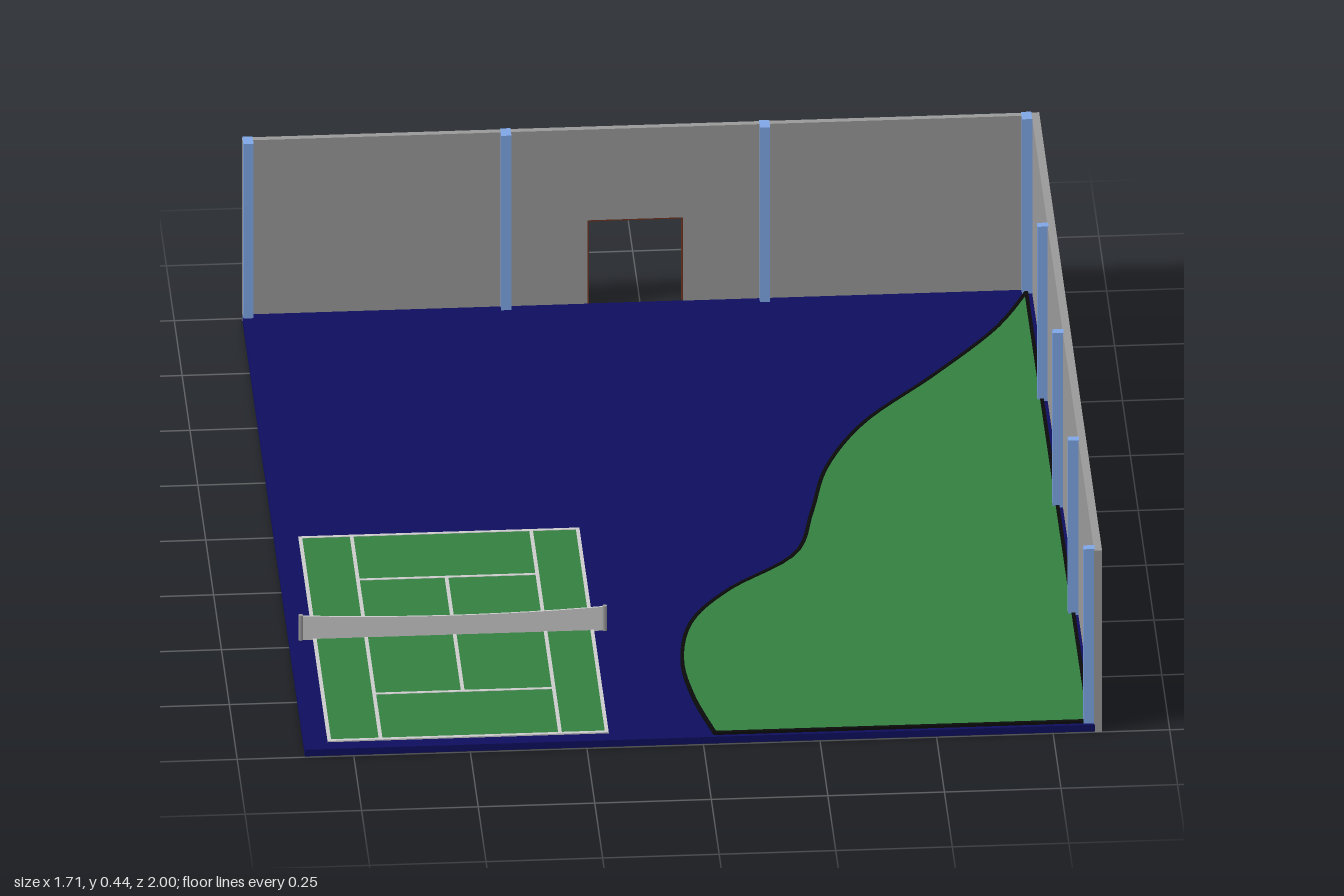
import * as THREE from 'three';

const mat = (color) => new THREE.MeshStandardMaterial({ color, side: THREE.DoubleSide });

export function createModel() {
  const group = new THREE.Group();
  const navy = mat(0x0e0e60), green = mat(0x338040), white = mat(0xcccccc);
  const wallGrey = mat(0x999999), blue = mat(0x7fa6e6), black = mat(0x0a0a0a), brown = mat(0x6b3320);

  const add = (name, geometry, material) => {
    const mesh = new THREE.Mesh(geometry, material);
    mesh.name = name;
    group.add(mesh);
    return mesh;
  };
  // Box given by its minimum and maximum corners
  const box = (name, x0, x1, y0, y1, z0, z1, material) =>
    add(name, new THREE.BoxGeometry(x1 - x0, y1 - y0, z1 - z0), material)
      .position.set((x0 + x1) / 2, (y0 + y1) / 2, (z0 + z1) / 2);

  const H = 0.44;

  // Floor slab
  box('floor', -0.855, 0.84, 0.002, 0.018, -0.985, 1, navy);

  // Lawn with a wavy edge, showing on both faces of the slab
  const edge = [[0.825, -0.965], [0.745, -0.8], [0.6, -0.6], [0.44, -0.4], [0.345, -0.2], [0.3, 0],
    [0.25, 0.19], [0.1, 0.34], [0.01, 0.48], [-0.022, 0.65], [-0.01, 0.82], [0.025, 0.988]]
    .map(([x, z]) => new THREE.Vector2(x, z));
  const outline = new THREE.SplineCurve(edge).getPoints(60);
  outline.push(new THREE.Vector2(0.828, 0.988));
  const lawn = new THREE.ExtrudeGeometry(new THREE.Shape(outline), { depth: 0.022, bevelEnabled: false });
  add('lawn', lawn.rotateX(Math.PI / 2).translate(0, 0.022, 0), green);

  // Dark kerb round the lawn
  outline.forEach((a, i) => {
    const b = outline[(i + 1) % outline.length];
    const kerb = add('lawnKerb', new THREE.BoxGeometry(a.distanceTo(b) + 0.003, 0.012, 0.008), black);
    kerb.position.set((a.x + b.x) / 2, 0.018, (a.y + b.y) / 2);
    kerb.rotation.y = -Math.atan2(b.y - a.y, b.x - a.x);
  });

  // Tennis court and its painted lines
  const [cx0, cx1, cz0, cz1] = [-0.8, -0.205, 0.04, 0.965];
  box('court', cx0, cx1, 0.001, 0.02, cz0, cz1, green);
  const w = 0.004;
  const line = (x0, x1, z0, z1) =>
    box('courtLine', x0 - w, x1 + w, 0, 0.021, z0 - w, z1 + w, white);
  for (const x of [cx0, -0.69, -0.305, cx1]) line(x, x, cz0, cz1);
  for (const z of [cz0, cz1]) line(cx0, cx1, z, z);
  for (const z of [0.24, 0.76]) line(-0.69, -0.305, z, z);
  line(-0.5, -0.5, 0.24, 0.76);

  // Net with a slightly sagging top
  const net = new THREE.Shape();
  net.moveTo(-0.83, 0.018);
  net.lineTo(-0.175, 0.018);
  net.lineTo(-0.175, 0.076);
  net.quadraticCurveTo(-0.5, 0.056, -0.83, 0.076);
  net.closePath();
  add('net', new THREE.ExtrudeGeometry(net, { depth: 0.004, bevelEnabled: false }).translate(0, 0, 0.498), white);
  for (const x of [-0.83, -0.178]) {
    add('netPost', new THREE.CylinderGeometry(0.005, 0.005, 0.06, 10), wallGrey).position.set(x, 0.048, 0.5);
  }

  // Back wall with a doorway, and side wall
  const back = new THREE.Shape();
  const [d0, d1, dTop] = [-0.115, 0.09, 0.22];
  [[-0.855, 0], [d0, 0], [d0, dTop], [d1, dTop], [d1, 0], [0.855, 0], [0.855, H], [-0.855, H]]
    .forEach(([x, y], i) => (i ? back.lineTo(x, y) : back.moveTo(x, y)));
  add('backWall', new THREE.ExtrudeGeometry(back, { depth: 0.014, bevelEnabled: false }).translate(0, 0, -0.998), wallGrey);
  box('sideWall', 0.838, 0.855, 0, H, -0.985, 1, wallGrey);

  // Doorway lining
  box('doorLining', d0, d0 + 0.003, 0.018, dTop, -0.998, -0.984, brown);
  box('doorLining', d1 - 0.003, d1, 0.018, dTop, -0.998, -0.984, brown);
  box('doorLining', d0, d1, dTop - 0.003, dTop, -0.998, -0.984, brown);

  // Wall posts: through the back wall, and inside the side wall
  for (const x of [-0.843, -0.29, 0.265, 0.827]) {
    box('backPost', x - 0.011, x + 0.011, 0.002, H + 0.001, -1, -0.966, blue);
  }
  for (const z of [-0.485, 0, 0.49, 0.985]) {
    box('sidePost', 0.816, 0.84, 0.018, H + 0.001, z - 0.009, z + 0.009, blue);
  }
  return group;
}
